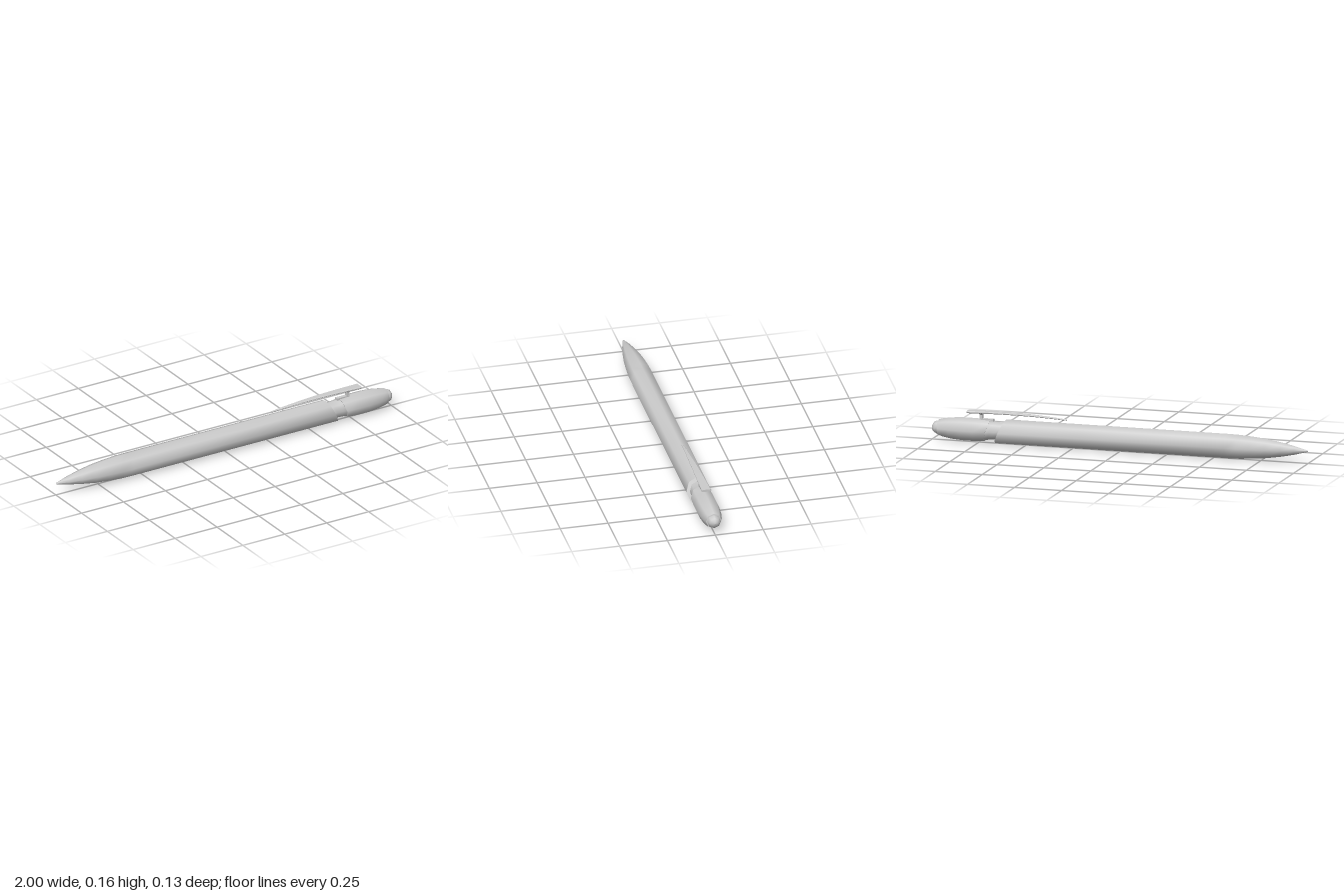
import * as THREE from 'three';

const SIDES = 8;
const AXIS_Y = 0.0635; // height of the pen's long axis

const material = new THREE.MeshStandardMaterial({ color: 0xcccccc, side: THREE.DoubleSide });

// Skins a list of equal-length rings of [x, y, z] points running along +x.
function loft(name, rings, flatShading = false) {
  const n = rings[0].length;
  const index = [];
  for (let i = 0; i < rings.length - 1; i++) {
    for (let j = 0; j < n; j++) {
      const a = i * n + j, b = i * n + (j + 1) % n;
      index.push(a, b, a + n, b, b + n, a + n);
    }
  }
  let geometry = new THREE.BufferGeometry();
  geometry.setAttribute('position', new THREE.Float32BufferAttribute(rings.flat(2), 3));
  geometry.setIndex(index);
  if (flatShading) geometry = geometry.toNonIndexed();
  geometry.computeVertexNormals();
  const mesh = new THREE.Mesh(geometry, material);
  mesh.name = name;
  return mesh;
}

// Octagonal tube; each station is [x, radius, slant], slant leaning the ring back at the top.
function tube(name, stations) {
  return loft(name, stations.map(([x, r, slant = 0]) =>
    Array.from({ length: SIDES }, (_, j) => {
      const a = (j / SIDES) * Math.PI * 2;
      const y = r * Math.cos(a);
      return [x - slant * y, AXIS_Y + y, r * Math.sin(a)];
    })));
}

// Chamfered strip section centred on (x, y), half width w and thickness t.
function stripRing(x, y, w, t) {
  const c = Math.min(0.004, w * 0.4), h = t / 2;
  return [
    [x, y + h, -w + c], [x, y + h, w - c], [x, y + h - 0.3 * t, w], [x, y - h + 0.3 * t, w],
    [x, y - h, w - c], [x, y - h, -w + c], [x, y - h + 0.3 * t, -w], [x, y + h - 0.3 * t, -w],
  ];
}

export function createModel() {
  const pen = new THREE.Group();
  pen.name = 'pen';
  const cut = 0.46;

  // Barrel with tapered point and slanted rear edge
  pen.add(tube('barrel', [
    [-1, 0, 0], [-0.997, 0.004], [-0.93, 0.022], [-0.86, 0.037], [-0.78, 0.05],
    [-0.7, 0.058], [-0.63, 0.0625], [-0.57, 0.0635], [0.2, 0.0635], [0.635, 0.0635, cut],
  ]));
  pen.add(tube('barrelRim', [[0.635, 0.0635, cut], [0.637, 0.046, cut]]));

  // Narrow neck flaring towards the cap
  pen.add(tube('neck', [
    [0.62, 0.046, cut], [0.655, 0.046, cut], [0.685, 0.048, 0.3], [0.705, 0.053, 0.3],
  ]));

  // Rear cap
  pen.add(tube('capRim', [[0.705, 0.045, 0.3], [0.703, 0.057, 0.3]]));
  pen.add(tube('cap', [
    [0.703, 0.057, 0.3], [0.77, 0.06], [0.84, 0.06], [0.9, 0.055], [0.945, 0.047], [0.965, 0.041],
  ]));
  pen.add(tube('capEnd', [[0.965, 0.041], [0.968, 0.03]]));

  // Push button
  pen.add(tube('button', [
    [0.96, 0.035], [0.978, 0.034], [0.99, 0.026], [0.998, 0.013], [1, 0],
  ]));

  // Arched pocket clip, closed at both ends
  const clip = [
    [0.285, 0.143, 0.004, 0.006], [0.36, 0.149, 0.008, 0.008], [0.45, 0.154, 0.012, 0.009],
    [0.54, 0.157, 0.016, 0.01], [0.63, 0.158, 0.019, 0.01], [0.72, 0.1575, 0.022, 0.011],
    [0.81, 0.156, 0.0245, 0.012],
  ].map((s) => stripRing(...s));
  const point = (x, y) => Array.from({ length: 8 }, () => [x, y, 0]);
  pen.add(loft('clip', [point(0.285, 0.143), ...clip, point(0.81, 0.156)], true));

  // Clip post and the foot bridging back over the neck
  const post = new THREE.Mesh(new THREE.BoxGeometry(0.016, 0.045, 0.018), material);
  post.name = 'clipPost';
  post.position.set(0.738, 0.134, 0);
  const foot = new THREE.Mesh(new THREE.BoxGeometry(0.075, 0.012, 0.02), material);
  foot.name = 'clipFoot';
  foot.position.set(0.709, 0.118, 0);
  const flare = new THREE.Mesh(new THREE.CylinderGeometry(0.018, 0.01, 0.008, 8), material);
  flare.name = 'clipPostFlare';
  flare.scale.x = 0.8;
  flare.position.set(0.738, 0.147, 0);
  pen.add(post, foot, flare);

  return pen;
}
